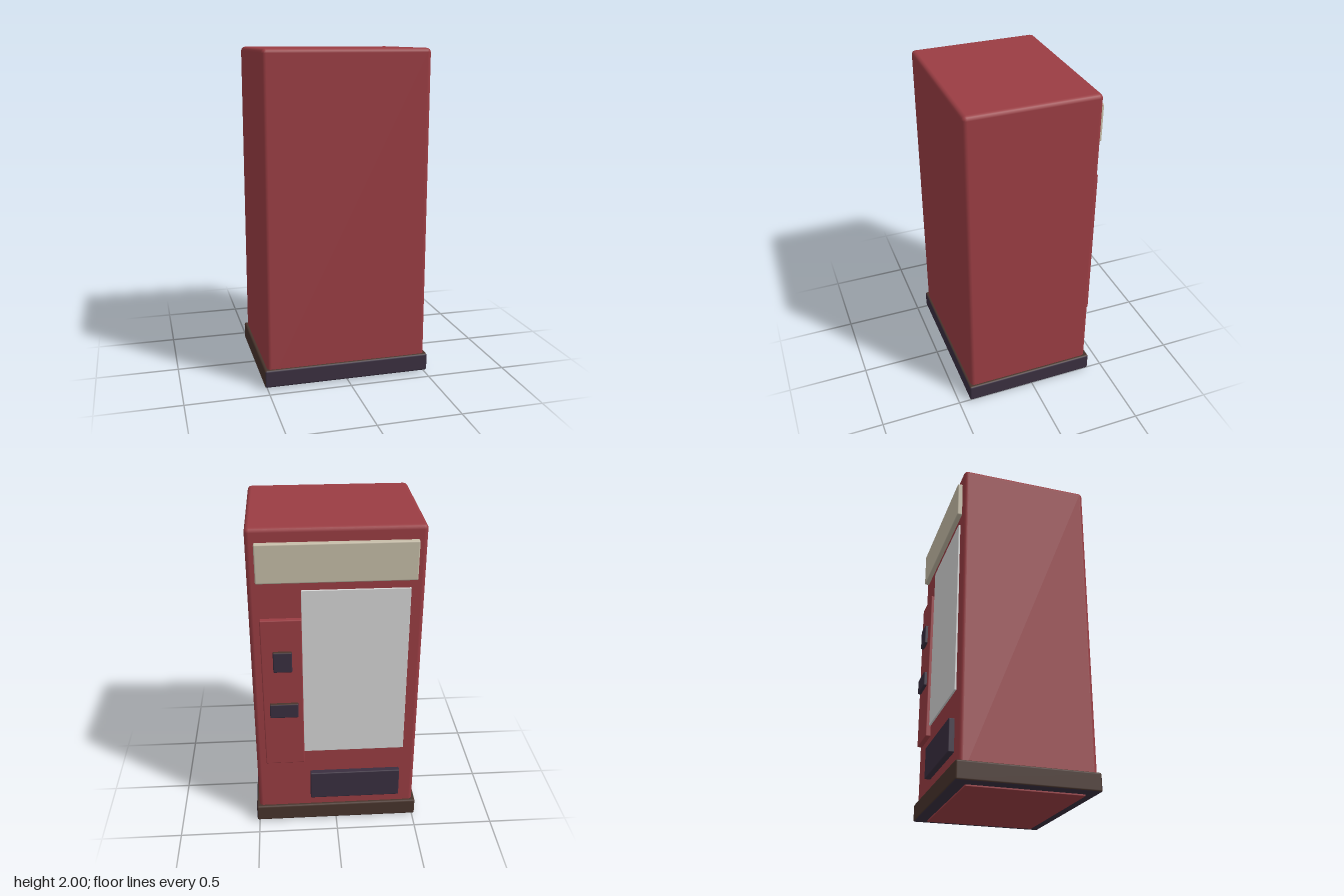
import * as THREE from 'three';
import { RoundedBoxGeometry } from 'three/addons/geometries/RoundedBoxGeometry.js';

function material(name, color) {
  const m = new THREE.MeshStandardMaterial({ color });
  m.name = name;
  return m;
}

export function createModel() {
  const group = new THREE.Group();
  group.name = 'vendingMachine';

  const red = material('red', 0x9a3d43);
  const plum = material('dark plum', 0x3a2f40);
  const brown = material('dark brown', 0x48342c);
  const beige = material('beige', 0xc6bda8);
  const grey = material('light grey', 0xd6d6d6);

  // Soft-edged box given by its limits on each axis
  function block(name, mat, [x0, x1], [y0, y1], [z0, z1], radius) {
    const geo = new RoundedBoxGeometry(x1 - x0, y1 - y0, z1 - z0, 2, radius);
    const mesh = new THREE.Mesh(geo, mat);
    mesh.name = name;
    mesh.position.set((x0 + x1) / 2, (y0 + y1) / 2, (z0 + z1) / 2);
    group.add(mesh);
  }

  // Side order: +x, -x, top, bottom, front, back
  const baseSides = [plum, brown, brown, plum, plum, brown];
  const knobSides = [plum, plum, brown, plum, plum, plum];

  // Cabinet, plinth and underside
  block('cabinet', red, [-0.497, 0.497], [0.02, 2], [-0.38, 0.415], 0.025);
  block('plinth', baseSides, [-0.515, 0.515], [0.01, 0.12], [-0.4, 0.43], 0.012);
  block('underside', red, [-0.44, 0.44], [0, 0.04], [-0.325, 0.36], 0.003);

  // Service side, facing -z
  block('headerSign', beige, [-0.45, 0.45], [1.69, 1.92], [-0.41, -0.36], 0.008);
  block('displayWindow', grey, [-0.418, 0.2], [0.545, 1.637], [-0.391, -0.36], 0.002);
  block('controlPanel', red, [0.2, 0.438], [0.475, 1.467], [-0.411, -0.36], 0.006);
  block('keypad', knobSides, [0.26, 0.37], [1.14, 1.27], [-0.432, -0.39], 0.007);
  block('coinSlot', knobSides, [0.23, 0.4], [0.825, 0.92], [-0.432, -0.39], 0.007);
  block('deliverySlot', plum, [-0.4, 0.165], [0.19, 0.385], [-0.415, -0.36], 0.007);

  return group;
}
